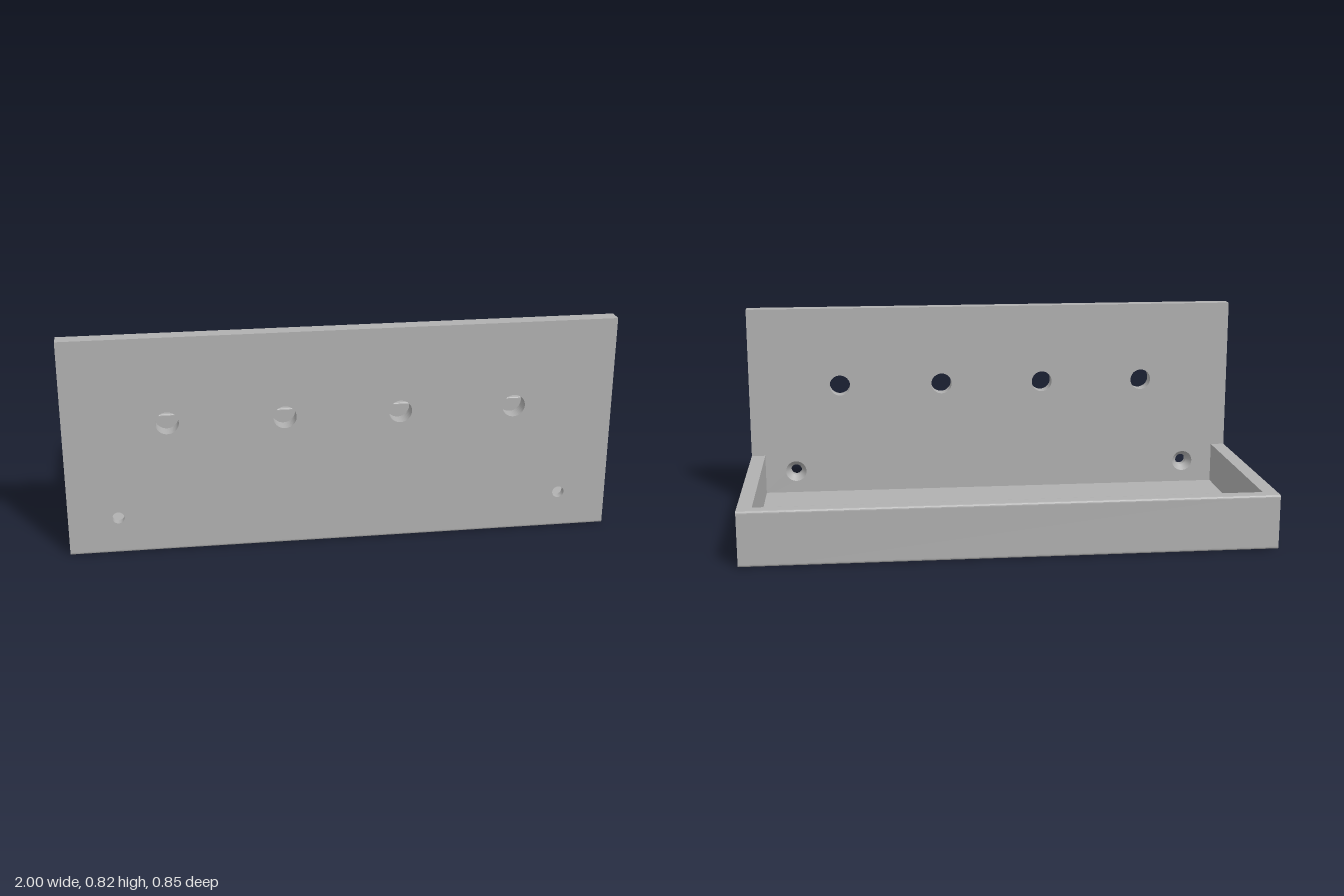
import * as THREE from 'three';

const Z = 0.427;        // half depth
const BACK = 0.372;     // rear face of the upright panel
const WALL = 0.055;     // side wall thickness
const FLOOR = 0.05, RIM = 0.21, TOP = 0.82;
const R = 0.01;         // small edge rounding
const SINK = 0.4;       // depth where the countersinks begin

export function createModel() {
  const grey = new THREE.MeshStandardMaterial({ color: 0xb0b0b0 });
  const model = new THREE.Group();
  model.name = 'wallShelf';

  const add = (geometry, name, parent = model) => {
    const mesh = new THREE.Mesh(geometry, grey);
    mesh.name = name;
    parent.add(mesh);
    return mesh;
  };

  // Extrudes a side profile, drawn with u = -z and v = y, from x0 to x1
  const alongX = (shape, x0, x1) =>
    new THREE.ExtrudeGeometry(shape, { depth: x1 - x0, bevelEnabled: false, curveSegments: 5 })
      .rotateY(Math.PI / 2).translate(x0, 0, 0);

  // Rounded bottom edges and rounded outer rim, shared by every profile
  const startProfile = (slot) => {
    const s = new THREE.Shape();
    s.moveTo(-Z, R);
    s.quadraticCurveTo(-Z, 0, -Z + R, 0);
    if (slot) {
      s.lineTo(-0.337, 0);
      s.lineTo(-0.337, 0.03);
      s.lineTo(-0.297, 0.03);
      s.lineTo(-0.297, 0);
    }
    s.lineTo(Z - R, 0);
    s.quadraticCurveTo(Z, 0, Z, R);
    s.lineTo(Z, RIM - R);
    s.quadraticCurveTo(Z, RIM, Z - R, RIM);
    return s;
  };

  // Floor with the rear lip; it also forms the rounded edge under the panel
  const floorProfile = (slot) => {
    const s = startProfile(slot);
    s.lineTo(0.38, RIM);
    s.quadraticCurveTo(0.373, RIM, 0.373, RIM - 0.007);
    s.lineTo(0.373, FLOOR);
    s.lineTo(-BACK, FLOOR);
    s.lineTo(-BACK, R);
    s.closePath();
    return s;
  };
  const inner = 1 - WALL, slotEnd = 0.82;
  add(alongX(floorProfile(true), -slotEnd, slotEnd), 'slottedFloor');
  add(alongX(floorProfile(false), slotEnd, inner), 'floorLeft');
  add(alongX(floorProfile(false), -inner, -slotEnd), 'floorRight');

  // Side walls
  const side = startProfile(false);
  side.lineTo(-BACK, RIM);
  side.lineTo(-BACK, R);
  side.closePath();
  add(alongX(side, inner, 1), 'sideWallLeft');
  add(alongX(side, -1, -inner), 'sideWallRight');

  // Upright panel in two layers, so the screw holes can widen to the rear
  const panel = new THREE.Group();
  panel.name = 'uprightPanel';
  model.add(panel);
  const panelLayer = (screwRadius, z0, z1) => {
    const s = new THREE.Shape();
    s.moveTo(-1, R);
    s.lineTo(1, R);
    s.lineTo(1, TOP);
    s.lineTo(-1, TOP);
    s.closePath();
    const hole = (x, y, r) => s.holes.push(new THREE.Path().absarc(x, y, r, 0, Math.PI * 2, true));
    for (const x of [-0.63, -0.21, 0.21, 0.63]) hole(x, 0.5, 0.042);
    for (const x of [-0.82, 0.82]) hole(x, 0.14, screwRadius);
    return new THREE.ExtrudeGeometry(s, { depth: z1 - z0, bevelEnabled: false, curveSegments: 24 })
      .translate(0, 0, z0);
  };
  add(panelLayer(0.022, SINK, Z), 'panelFront', panel);
  add(panelLayer(0.042, BACK, SINK), 'panelRear', panel);

  // Countersinks, facing inwards
  for (const x of [-0.82, 0.82]) {
    const cone = new THREE.LatheGeometry(
      [new THREE.Vector2(0.022, SINK), new THREE.Vector2(0.042, BACK)], 48);
    add(cone.rotateX(Math.PI / 2).translate(x, 0.14, 0), 'countersink', panel);
  }
  return model;
}
